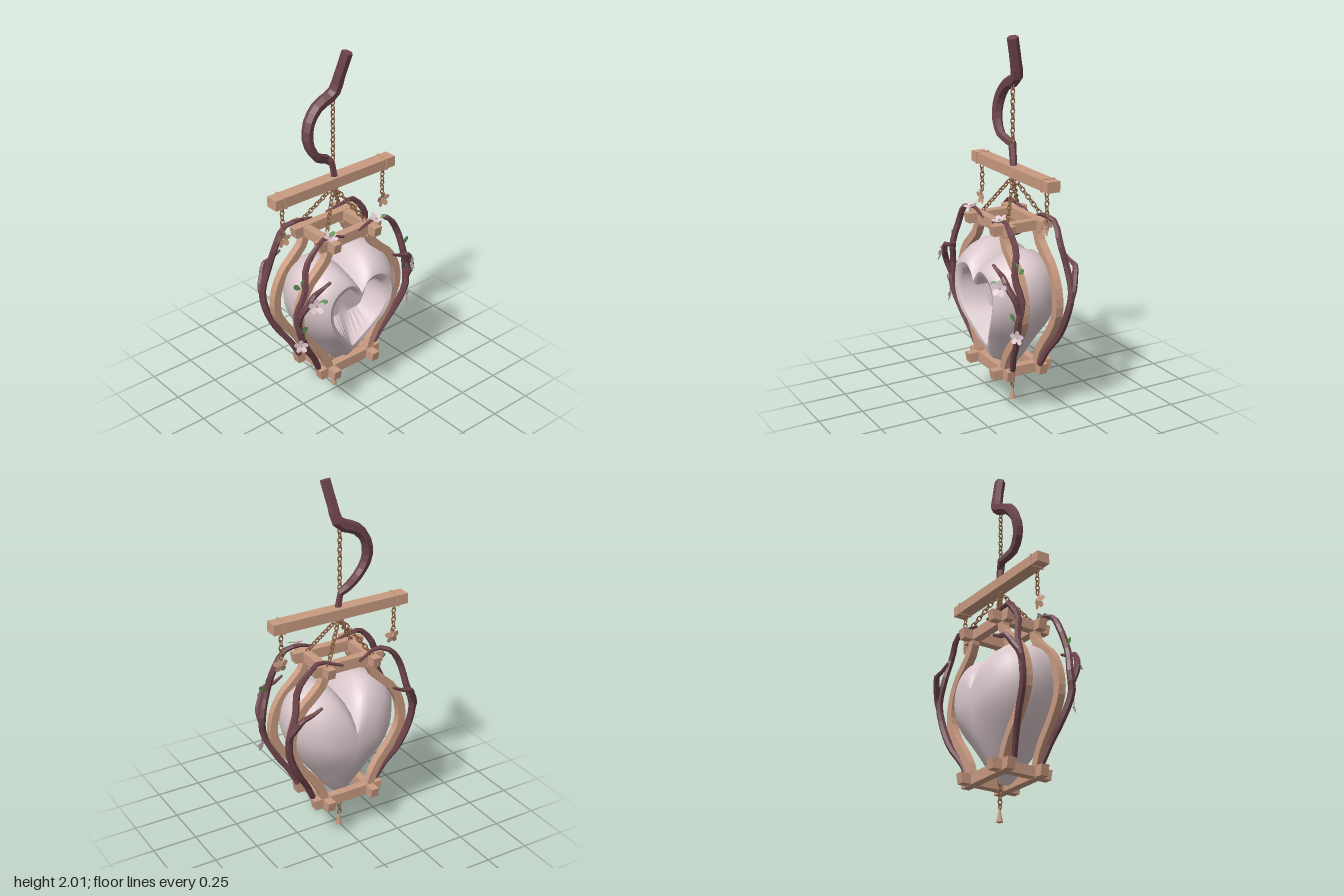
import * as THREE from 'three';
import { toCreasedNormals } from 'three/addons/utils/BufferGeometryUtils.js';

const V = (x, y, z) => new THREE.Vector3(x, y, z);
const mat = (name, color, extra = {}) => {
  const m = new THREE.MeshStandardMaterial({ color, ...extra });
  m.name = name;
  return m;
};

export function createModel() {
  const root = new THREE.Group();
  const shell = mat('pale pink shell', 0xd9c7cb);
  const wood = mat('light wood', 0xc99b82, { flatShading: true });
  const bark = mat('dark bark', 0x6e454b, { flatShading: true });
  const metal = mat('bronze chain', 0x8c6043);
  const petal = mat('pale petal', 0xddc8d0, { side: THREE.DoubleSide });
  const copper = mat('copper petal', 0xc79a80, { side: THREE.DoubleSide });
  const green = mat('leaf green', 0x5b9150, { side: THREE.DoubleSide });
  const CZ = -0.037; // depth of the hanging axis

  const add = (name, geo, material, pos = V(0, 0, 0), parent = root) => {
    const m = new THREE.Mesh(geo, material);
    m.name = name;
    m.position.copy(pos);
    parent.add(m);
    return m;
  };

  // Heart shell: heart outlines stacked from back to front, then into the hollow
  const half = new THREE.CatmullRomCurve3([
    [0, 0.795], [0.045, 0.86], [0.1, 0.9], [0.16, 0.905], [0.235, 0.875], [0.29, 0.82], [0.316, 0.73],
    [0.305, 0.62], [0.245, 0.49], [0.155, 0.37], [0.065, 0.25], [0, 0.19],
  ].map(([x, y]) => V(x, y, 0))).getPoints(22);
  const outline = [...half, ...half.slice(1, -1).reverse().map(p => V(-p.x, p.y, 0))];
  const layers = [ // z, scale, hollow back
    [-0.22, 0], [-0.22, 0.38], [-0.2, 0.58], [-0.155, 0.8], [-0.09, 0.95], [-0.02, 1], [0.05, 0.985],
    [0.105, 0.92], [0.15, 0.84], [0.185, 0.76], [0.2, 0.68], [0.19, 0.6], [0.175, 0.57],
    [0.03, 0.565, true], [0.03, 0, true],
  ];
  const pos = [], idx = [], N = outline.length;
  layers.forEach(([z, s, hollow], l) => outline.forEach((p, i) => {
    let y = 0.58 + (p.y - 0.58) * s;
    const f = 0.5 + 0.5 * THREE.MathUtils.smoothstep(y, 0.17, 0.6);
    if (hollow) y = s ? Math.max(y, 0.515) : 0.6;
    pos.push(p.x * s, y, hollow ? z : (z + 0.02) * f - 0.02);
    if (l === layers.length - 1) return;
    const a = l * N + i, b = l * N + (i + 1) % N;
    idx.push(a, a + N, b, b, a + N, b + N);
  }));
  const heart = new THREE.BufferGeometry();
  heart.setAttribute('position', new THREE.Float32BufferAttribute(pos, 3));
  heart.setIndex(idx);
  add('heartShell', toCreasedNormals(heart, 0.65), shell);

  // Crossed top and bottom frames with slightly tapered beam ends
  const beam = (name, w, h, d, p) => {
    const g = new THREE.BoxGeometry(w, h, d), a = g.attributes.position;
    for (let i = 0; i < a.count; i++) if (a.getY(i) < 0) {
      if (w > d) a.setX(i, a.getX(i) * 0.95);
      else a.setZ(i, a.getZ(i) * 0.95);
    }
    add(name, g, wood, p);
  };
  for (const y of [1.033, 0.235]) {
    for (const z of [0.088, -0.112]) beam('frameCrossBeam', 0.43, 0.058, 0.046, V(0, y, z));
    for (const x of [-0.137, 0.137]) beam('frameSideBeam', 0.046, 0.054, 0.365, V(x, y, -0.012));
  }

  // Curved ribs, cut as ribbons and extruded
  const rib = sx => {
    const c = new THREE.CatmullRomCurve3([
      [0.137, 1.03], [0.145, 0.965], [0.2, 0.9], [0.275, 0.83], [0.33, 0.72], [0.338, 0.6],
      [0.285, 0.49], [0.2, 0.38], [0.155, 0.3], [0.14, 0.23],
    ].map(([x, y]) => V(x * sx, y, 0)));
    const a = [], b = [];
    for (let i = 0; i <= 20; i++) {
      const p = c.getPointAt(i / 20), t = c.getTangentAt(i / 20);
      a.push(new THREE.Vector2(p.x - t.y * 0.022, p.y + t.x * 0.022));
      b.unshift(new THREE.Vector2(p.x + t.y * 0.022, p.y - t.x * 0.022));
    }
    return new THREE.ExtrudeGeometry(new THREE.Shape([...a, ...b]), { depth: 0.042, bevelEnabled: false });
  };
  for (const sx of [-1, 1]) for (const z of [0.067, -0.133]) add('curvedRib', rib(sx), wood, V(0, 0, z));

  // Hanging beam with bands
  add('hangingBeam', new THREE.BoxGeometry(0.8, 0.057, 0.073), wood, V(0.004, 1.298, CZ - 0.004));
  for (const x of [-0.335, 0.345])
    add('beamBand', new THREE.BoxGeometry(0.012, 0.065, 0.081), wood, V(x, 1.298, CZ - 0.004));

  // Tapered, closed tube along a path
  const branch = (name, pts, radii, sides = 6) => {
    const c = new THREE.CatmullRomCurve3(pts.map(p => V(...p))), n = pts.length * 2;
    const g = new THREE.TubeGeometry(c, n, 1, sides), a = g.attributes.position, v = V(0, 0, 0);
    for (let i = 0; i <= n; i++) {
      const ctr = c.getPointAt(i / n), k = (i / n) * (radii.length - 1), q = Math.min(Math.floor(k), radii.length - 2);
      let r = THREE.MathUtils.lerp(radii[q], radii[q + 1], k - q);
      const end = i === 1 ? 0 : i === n - 1 ? 1 : null; // blunt ends
      if (i === 0 || i === n) r = 0;
      for (let j = 0; j <= sides; j++) {
        const m = i * (sides + 1) + j;
        v.fromBufferAttribute(a, m).sub(ctr).multiplyScalar(r).add(end === null ? ctr : c.getPointAt(end));
        a.setXYZ(m, v.x, v.y, v.z);
      }
    }
    add(name, g, bark);
  };

  // Hook branch
  branch('hookBranch', [
    [0.062, 2, 0.0], [0.04, 1.88, -0.03], [0.015, 1.785, -0.05], [-0.09, 1.735, -0.05], [-0.15, 1.66, -0.045],
    [-0.162, 1.56, -0.035], [-0.11, 1.47, -0.03], [-0.025, 1.425, -0.055], [0.003, 1.39, -0.03], [0.01, 1.325, CZ],
  ], [0.03, 0.03, 0.034, 0.032, 0.03, 0.026, 0.024, 0.016]);

  // Vines with a forked twig at each corner
  for (const sx of [-1, 1]) for (const front of [true, false]) {
    const p = (x, y, zf, zb) => [x * sx, y, front ? zf : zb];
    branch('vine', [
      p(0.05, 1.05, 0.11, -0.155), p(0.12, 1.075, 0.11, -0.135), p(0.18, 1.085, 0.11, -0.13),
      p(0.24, 1.065, 0.125, -0.15), p(0.31, 0.97, 0.12, -0.14), p(0.34, 0.84, 0.145, -0.165),
      p(0.38, 0.71, 0.125, -0.17), p(0.37, 0.6, 0.14, -0.155), p(0.31, 0.46, 0.115, -0.14),
      p(0.245, 0.36, 0.095, -0.11), p(0.2, 0.265, 0.075, -0.09),
    ], [0.004, 0.012, 0.018, 0.018, 0.019, 0.02, 0.02, 0.018, 0.016]);
    branch('forkedTwig', [
      p(0.375, 0.64, 0.135, -0.16), p(0.385, 0.73, 0.165, -0.18), p(0.355, 0.79, 0.19, -0.205),
      p(0.325, 0.84, 0.2, -0.225), p(0.28, 0.85, 0.195, -0.225), p(0.215, 0.88, 0.2, -0.225),
    ], [0.014, 0.017, 0.017, 0.016, 0.012, 0.004]);
  }

  // Chains of alternating links
  const link = new THREE.TorusGeometry(0.0115, 0.0036, 5, 8).scale(1, 1.35, 1);
  const chain = (name, from, to) => {
    const g = new THREE.Group(), d = to.clone().sub(from), n = Math.round(d.length() / 0.025);
    g.name = name;
    g.position.copy(from);
    g.quaternion.setFromUnitVectors(V(0, 1, 0), d.clone().normalize());
    for (let i = 0; i < n; i++)
      add('chainLink', link, metal, V(0, (i + 0.5) * d.length() / n, 0), g).rotation.y = (i % 2) * Math.PI / 2;
    root.add(g);
  };
  chain('mainChain', V(0, 1.32, CZ), V(0, 1.75, CZ));
  for (const sx of [-1, 1]) for (const z of [0.07, -0.145])
    chain('frameChain', V(0.135 * sx, 1.06, z), V(0.003, 1.265, CZ));
  chain('bottomChain', V(0, 0.065, CZ), V(0, 0.215, CZ));
  add('bellPendant', new THREE.CylinderGeometry(0.005, 0.017, 0.065, 8), wood, V(0.003, 0.0325, CZ));

  // Flowers and leaves
  const blade = (len, wid) => {
    const s = new THREE.Shape();
    s.moveTo(0, 0);
    s.quadraticCurveTo(wid, len * 0.6, wid * 0.25, len);
    s.lineTo(-wid * 0.25, len);
    s.quadraticCurveTo(-wid, len * 0.6, 0, 0);
    return new THREE.ShapeGeometry(s, 4).rotateX(0.3);
  };
  const flower = (name, r, at, facing, material) => {
    const g = new THREE.Group();
    g.name = name;
    g.position.copy(at);
    g.quaternion.setFromUnitVectors(V(0, 0, 1), facing.normalize());
    for (let i = 0; i < 5; i++)
      add('petal', blade(r, r * 0.6), material, V(0, 0, 0), g).rotation.z = i * Math.PI * 0.4;
    add('flowerCentre', new THREE.SphereGeometry(r * 0.16, 6, 5), wood, V(0, 0, 0.004), g);
    root.add(g);
  };
  const leaf = (at, facing, spin) => {
    const m = add('leaf', blade(0.05, 0.024), green, at);
    m.quaternion.setFromUnitVectors(V(0, 0, 1), facing.normalize());
    m.rotateZ(spin);
  };
  for (const s of [-1, 1]) {
    flower('twigFlower', 0.045, V(0.325 * s, 0.79, 0.222), V(0.6 * s, 0.2, 0.8), petal);
    flower('lowFlower', 0.04, V(0.37 * s, 0.525, 0.145), V(0.6 * s, 0.1, 0.8), petal);
    flower('topFlower', 0.042, V(0.155 * s, 1.088, 0.128), V(0, 1, 0.35), petal);
    leaf(V(0.355 * s, 0.86, 0.13), V(0.3 * s, 0.3, 0.9), -0.9 * s);
    leaf(V(0.35 * s, 0.87, 0.13), V(0.5 * s, 0.2, 0.8), 0.4 * s);
    leaf(V(0.31 * s, 0.8, 0.215), V(0.3 * s, 0.4, 0.8), 1.6 * s);
    leaf(V(0.37 * s, 0.61, 0.16), V(0.4 * s, 0.1, 0.9), 0.4 * s);
    leaf(V(0.36 * s, 0.54, 0.145), V(0.5 * s, 0.3, 0.8), 0.3 * s);
    leaf(V(0.165 * s, 1.09, 0.125), V(0, 1, 0.3), (s > 0 ? -1.9 : -1.3));
    // Side pendants on the beam
    const x = s > 0 ? 0.345 : -0.335;
    chain('sideChain', V(x, 1.11, CZ), V(x, 1.265, CZ));
    flower('pendantFlower', 0.045, V(x, 1.075, CZ), V(0, 0, 1), copper);
  }
  return root;
}
